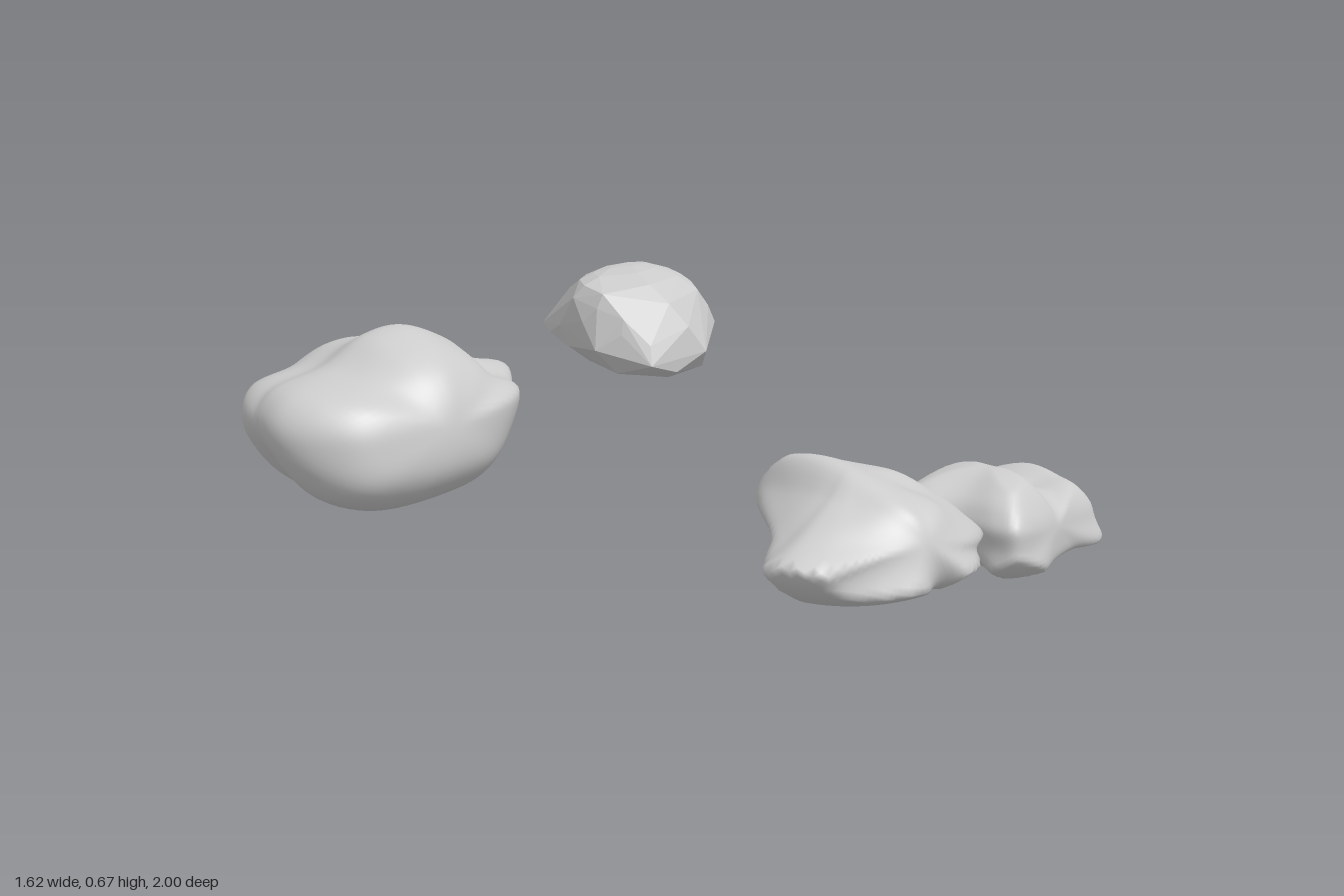
import * as THREE from 'three';
import { mergeVertices } from 'three/addons/utils/BufferGeometryUtils.js';
import { ConvexGeometry } from 'three/addons/geometries/ConvexGeometry.js';

const V2 = (x, y) => new THREE.Vector2(x, y);

// Smooth closed outline through a few points, relative to a centre.
function outline(flat, cx, cy) {
  const pts = [];
  for (let i = 0; i < flat.length; i += 2) pts.push(new THREE.Vector3(flat[i] - cx, flat[i + 1] - cy, 0));
  return new THREE.CatmullRomCurve3(pts, true).getPoints(120).map(p => V2(p.x, p.y));
}

// 1 / distance² from the centre to the outline along (u, v).
function inverseSquare(line, u, v) {
  if (u * u + v * v < 1e-10) return 0;
  let best = 0;
  for (let i = 0; i < line.length - 1; i++) {
    const p = line[i], q = line[i + 1];
    const a = p.x * v - p.y * u, b = q.x * v - q.y * u;
    if (a * b > 0) continue;
    const den = u * (q.y - p.y) - v * (q.x - p.x);
    if (Math.abs(den) < 1e-12) continue;
    best = Math.max(best, (p.x * q.y - p.y * q.x) / den);
  }
  return best > 0 ? 1 / (best * best) : 0;
}

// Box spanned by the front (x, y) and top (x, z) outlines.
function bounds({ front, top }) {
  const box = new THREE.Box3();
  const pick = (a, k) => a.filter((_, i) => i % 2 === k);
  const xs = pick(front, 0), ys = pick(front, 1), zs = pick(top, 1);
  box.min.set(Math.min(...xs), Math.min(...ys), Math.min(...zs));
  box.max.set(Math.max(...xs), Math.max(...ys), Math.max(...zs));
  return box;
}

// Blends three outlines into a function that pushes a direction onto the rock.
function rockSurface(spec) {
  const c = bounds(spec).getCenter(new THREE.Vector3());
  const front = outline(spec.front, c.x, c.y);
  const side = outline(spec.side, c.z, c.y);
  const top = outline(spec.top, c.x, c.z);
  const axis = s => [
    (inverseSquare(top, s, 0) + inverseSquare(front, s, 0)) / 2,
    (inverseSquare(side, 0, s) + inverseSquare(front, 0, s)) / 2,
    (inverseSquare(top, 0, s) + inverseSquare(side, s, 0)) / 2];
  const plus = axis(1), minus = axis(-1);
  const dents = (spec.dents || []).map(([x, y, z, depth, width]) =>
    ({ dir: new THREE.Vector3(x, y, z).sub(c).normalize(), depth, width }));
  return d => {
    // ellipsoid term, corrected by how far each outline departs from it
    const e = [d.x, d.y, d.z].reduce((s, t, i) => s + t * t * (t > 0 ? plus : minus)[i], 0);
    const sum = inverseSquare(front, d.x, d.y) + inverseSquare(side, d.z, d.y) + inverseSquare(top, d.x, d.z);
    let r = 1 / Math.sqrt(Math.max(sum - e, e * 0.5));
    for (const n of dents) r -= n.depth * Math.exp(-((d.angleTo(n.dir) / n.width) ** 2));
    return d.clone().multiplyScalar(r);
  };
}

// Scales and shifts a geometry so that it fills a box.
function fitTo(geo, box) {
  geo.computeBoundingBox();
  const from = geo.boundingBox, a = from.getSize(new THREE.Vector3()), b = box.getSize(new THREE.Vector3());
  geo.translate(-from.min.x, -from.min.y, -from.min.z);
  geo.scale(b.x / a.x, b.y / a.y, b.z / a.z);
  geo.translate(box.min.x, box.min.y, box.min.z);
  return geo;
}

function smoothRock(spec) {
  let geo = new THREE.IcosahedronGeometry(1, 22);
  geo.deleteAttribute('uv');
  geo.deleteAttribute('normal');
  geo = mergeVertices(geo);
  const push = rockSurface(spec), pos = geo.attributes.position, d = new THREE.Vector3();
  for (let i = 0; i < pos.count; i++) {
    const p = push(d.fromBufferAttribute(pos, i).normalize());
    pos.setXYZ(i, p.x, p.y, p.z);
  }
  fitTo(geo, bounds(spec));
  geo.computeVertexNormals();
  return geo;
}

// Chipped rock: hull of spiral-spaced points on the surface.
function chippedRock(spec, count) {
  const push = rockSurface(spec), pts = [];
  for (let i = 0; i < count; i++) {
    const y = 1 - 2 * (i + 0.5) / count, a = i * 2.39996 + 0.25 * Math.sin(i * 5.3);
    const r = Math.sqrt(1 - y * y);
    pts.push(push(new THREE.Vector3(r * Math.cos(a), y, r * Math.sin(a))));
  }
  return fitTo(new ConvexGeometry(pts), bounds(spec));
}

// Outlines: front is x,y; side is z,y; top is x,z. Dents: x, y, z, depth, width.
const chipped = {
  front: [-.81, .40, -.75, .46, -.69, .53, -.62, .56, -.50, .56, -.41, .53, -.35, .47, -.34, .35, -.39, .33, -.55, .335, -.70, .35, -.80, .38],
  side: [-.32, .40, -.32, .48, -.35, .53, -.50, .56, -.60, .55, -.66, .51, -.73, .43, -.71, .39, -.56, .33, -.42, .33, -.34, .35],
  top: [-.81, -.53, -.80, -.60, -.73, -.74, -.63, -.73, -.48, -.67, -.40, -.61, -.34, -.52, -.41, -.36, -.53, -.32, -.62, -.35, -.80, -.48],
};
const block = {
  front: [.11, .54, .12, .60, .17, .63, .25, .645, .32, .67, .40, .65, .46, .61, .49, .55, .49, .47, .44, .42, .36, .41, .27, .41, .18, .44, .12, .49],
  side: [1, .54, .97, .59, .87, .62, .80, .66, .74, .67, .66, .64, .60, .60, .54, .58, .55, .54, .65, .44, .74, .41, .85, .41, .95, .45],
  top: [.11, .77, .12, .69, .22, .57, .30, .53, .38, .55, .46, .61, .49, .67, .49, .90, .45, .96, .38, 1, .30, .99, .20, .95, .14, .87],
  dents: [[.38, .60, .58, .03, .22], [.14, .60, .75, .03, .2], [.33, .46, 1, .015, .35]],
};
const wedge = {
  front: [.43, .33, .48, .38, .57, .40, .70, .37, .78, .33, .81, .26, .80, .19, .74, .17, .66, .18, .58, .22, .52, .27, .44, .30],
  side: [.29, .26, .22, .30, .13, .35, .07, .395, 0, .385, -.08, .37, -.14, .33, -.21, .25, -.17, .23, -.13, .18, 0, .20, .08, .17, .16, .19, .25, .24],
  top: [.43, .03, .45, -.04, .53, -.12, .66, -.22, .73, -.17, .79, -.08, .81, 0, .76, .18, .73, .26, .69, .29, .63, .25, .55, .20, .44, .10],
  dents: [[.70, .36, -.08, .015, .35]],
};
const slab = {
  front: [.12, .06, .15, .11, .18, .17, .23, .21, .32, .22, .40, .20, .46, .14, .47, .08, .46, .02, .38, .015, .30, .005, .20, .01, .13, .04],
  side: [-.53, .13, -.56, .17, -.62, .20, -.72, .22, -.78, .19, -.84, .18, -.92, .19, -1, .12, -.98, .04, -.88, .02, -.78, .01, -.66, .005, -.60, .03],
  top: [.12, -.88, .14, -.95, .22, -1, .33, -.99, .41, -.96, .44, -.85, .47, -.70, .47, -.61, .43, -.59, .34, -.58, .20, -.53, .16, -.58, .14, -.80],
  dents: [[.36, .20, -.90, .02, .3]],
};

export function createModel() {
  const group = new THREE.Group();
  group.name = 'floatingRocks';
  const add = (name, geo, flatShading = false) => {
    const mesh = new THREE.Mesh(geo, new THREE.MeshStandardMaterial({ color: 0xcccccc, flatShading }));
    mesh.name = name;
    group.add(mesh);
  };
  add('chippedRock', chippedRock(chipped, 110), true);
  add('blockRock', smoothRock(block));
  add('wedgeRock', smoothRock(wedge));
  add('slabRock', smoothRock(slab));
  return group;
}
